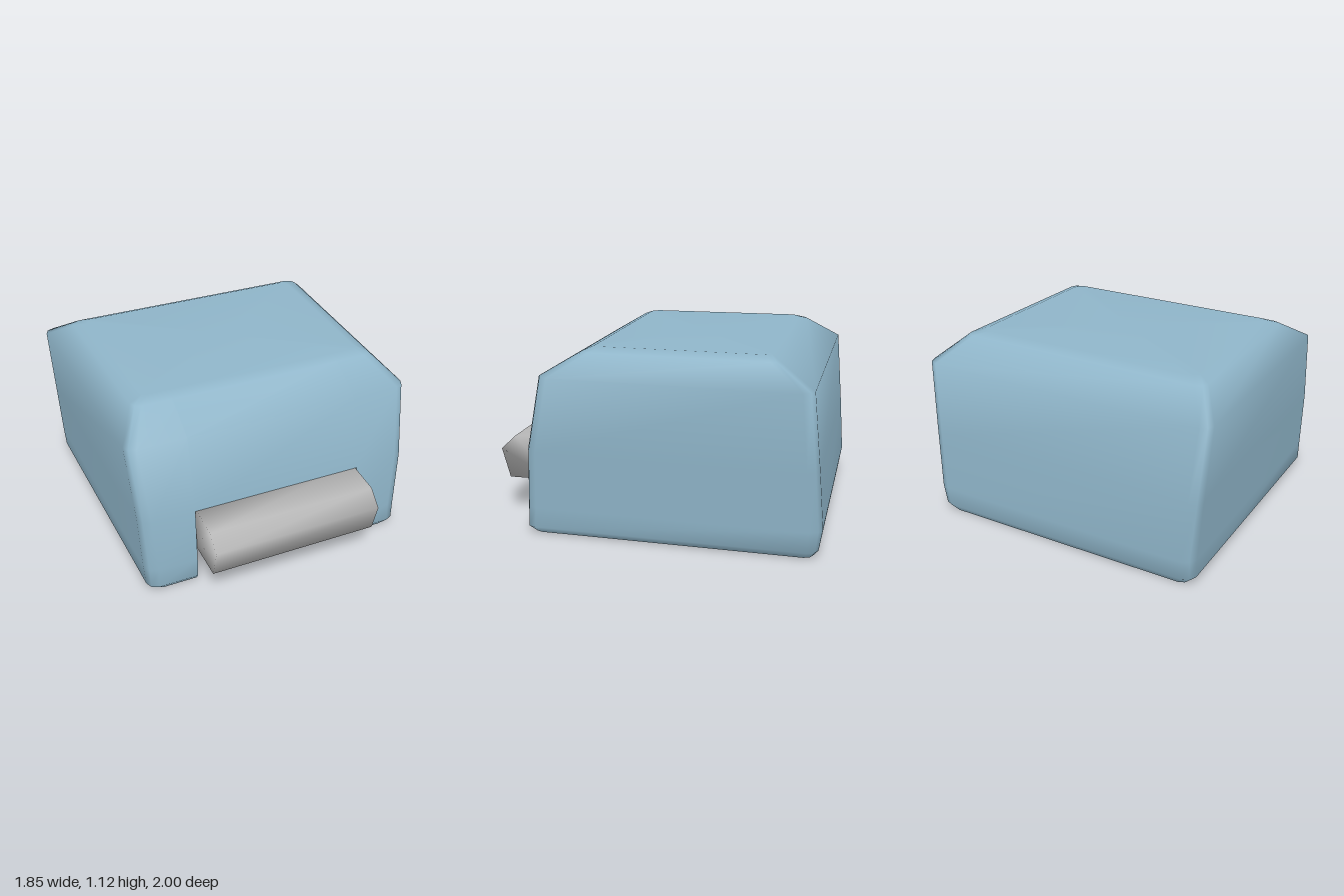
import * as THREE from 'three';
import { mergeVertices } from 'three/addons/utils/BufferGeometryUtils.js';

const OPENING = 0.525; // half width of the front opening
const LINTEL = 3; // layer index where the opening ends

// outer layers from the bottom up: [y, half width front, half width back, z front, z back, corner]
const OUTER = [
  [0, 0.785, 0.82, 0.70, -0.95, 0.05],
  [0.045, 0.83, 0.865, 0.735, -0.98, 0.06],
  [0.17, 0.838, 0.873, 0.733, -1.0, 0.07],
  [0.515, 0.855, 0.895, 0.715, -0.975, 0.065],
  [0.96, 0.88, 0.925, 0.62, -0.937, 0.06],
  [1.09, 0.76, 0.79, 0.40, -0.73, 0.05],
  [1.115, 0.69, 0.71, 0.34, -0.67, 0.05],
];

// inner layers follow the outer ones, moved in by the wall thickness
const INNER = OUTER.map(([y, xf, xb, zf, zb, c], i) => {
  const t = i === 0 ? 0.02 : 0.06;
  return [y > 0.6 ? y - 0.05 : y, xf - t, xb - t, zf - t, zb + t, c];
});

// ring of points from the right of the opening around the back to its left
function ring([y, xf, xb, zf, zb, c]) {
  const half = [
    [OPENING, zf], [xf - c, zf], [xf - 0.3 * c, zf - 0.3 * c], [xf, zf - c],
    [xb, zb + c], [xb - 0.3 * c, zb + 0.3 * c], [xb - c, zb],
  ];
  const other = half.map(([x, z]) => [-x, z]).reverse();
  return [...half, ...other].map(([x, z]) => new THREE.Vector3(x, y, z));
}

function geometryFrom(points, index) {
  const g = new THREE.BufferGeometry().setFromPoints(points);
  g.setIndex(index);
  g.computeVertexNormals();
  return g;
}

// one continuous skin: down the inside, round the rim and up the outside
function shellGeometry() {
  const layers = [...[...INNER].reverse(), ...OUTER];
  const rings = layers.map(ring);
  const n = rings[0].length;
  const points = rings.flat();
  const index = [];
  for (let i = 0; i < rings.length - 1; i++) {
    const open = layers[i][0] < 0.6 && layers[i + 1][0] < 0.6;
    for (let k = 0; k < n; k++) {
      if (open && k === n - 1) continue;
      const a = i * n + k, b = i * n + (k + 1) % n;
      index.push(a, b, b + n, a, b + n, a + n);
    }
  }
  // roof and ceiling
  const cap = (start, layer, up) => {
    const centre = points.length;
    points.push(new THREE.Vector3(0, layer[0], (layer[3] + layer[4]) / 2));
    for (let k = 0; k < n; k++) {
      const a = start + k, b = start + (k + 1) % n;
      index.push(...(up ? [centre, a, b] : [centre, b, a]));
    }
  };
  cap((rings.length - 1) * n, OUTER[OUTER.length - 1], true);
  cap(0, INNER[INNER.length - 1], false);
  return geometryFrom(points, index);
}

// cut edges of the wall: two jambs and the underside of the lintel
function openingEdgeGeometry() {
  const points = [], index = [];
  const quad = (...p) => {
    const s = points.length;
    points.push(...p);
    index.push(s, s + 1, s + 2, s, s + 2, s + 3);
  };
  const at = (layer, x) => new THREE.Vector3(x, layer[0], layer[3]);
  for (const x of [-OPENING, OPENING]) {
    for (let i = 0; i < LINTEL; i++) {
      const p = [at(OUTER[i], x), at(INNER[i], x), at(INNER[i + 1], x), at(OUTER[i + 1], x)];
      quad(...(x < 0 ? p : p.reverse()));
    }
  }
  const o = OUTER[LINTEL], n = INNER[LINTEL];
  quad(at(o, -OPENING), at(n, -OPENING), at(n, OPENING), at(o, OPENING));
  return geometryFrom(points, index);
}

// faceted bar with softly shaded edges
function barGeometry() {
  const profile = [[0.67, 0.235], [0.95, 0.235], [1.0, 0.415], [0.91, 0.5], [0.67, 0.517]];
  const shape = new THREE.Shape(profile.map(([z, y]) => new THREE.Vector2(z, y)));
  let g = new THREE.ExtrudeGeometry(shape, { depth: 1.034, bevelEnabled: false });
  g.rotateY(-Math.PI / 2);
  g.translate(0.517, 0, 0);
  g.deleteAttribute('uv');
  g.deleteAttribute('normal');
  g = mergeVertices(g);
  g.computeVertexNormals();
  return g;
}

export function createModel() {
  const blue = new THREE.MeshStandardMaterial({ color: 0x8fb5c9, side: THREE.DoubleSide });
  blue.name = 'softBlue';
  const grey = new THREE.MeshStandardMaterial({ color: 0xb8b8b8 });
  grey.name = 'lightGrey';

  const model = new THREE.Group();
  model.name = 'hoodedCover';
  const add = (name, geometry, material) => {
    const mesh = new THREE.Mesh(geometry, material);
    mesh.name = name;
    model.add(mesh);
  };
  add('shell', shellGeometry(), blue);
  add('openingEdge', openingEdgeGeometry(), blue);
  add('frontBar', barGeometry(), grey);
  return model;
}
